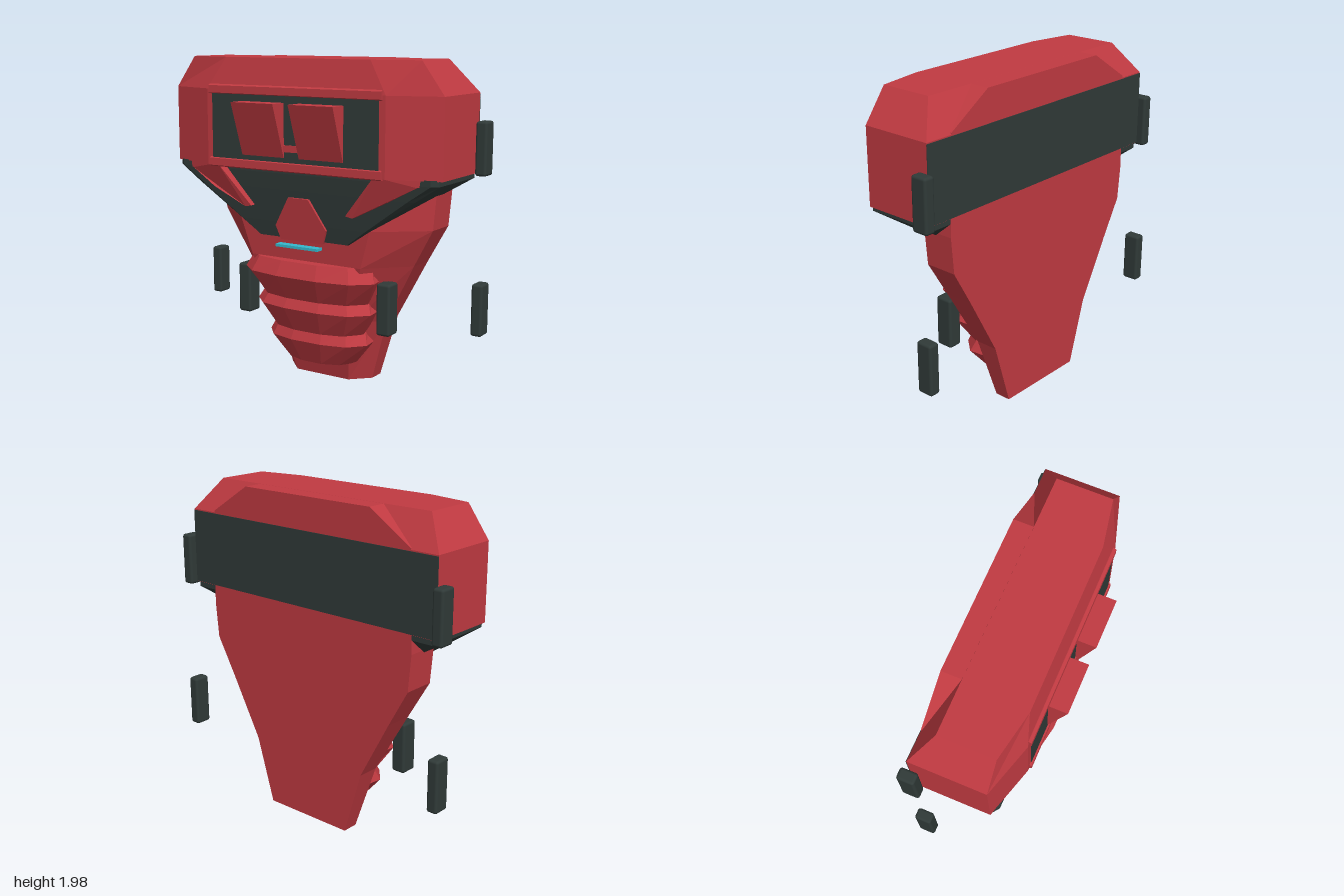
import * as THREE from 'three';
import { RoundedBoxGeometry } from 'three/addons/geometries/RoundedBoxGeometry.js';

const material = (name, color) => {
  const m = new THREE.MeshStandardMaterial({ color });
  m.name = name;
  return m;
};

// Loft of horizontal sections [y, [[x, z], ...]]; each lists its +x half from front to back.
function loft(sections) {
  const rings = sections.map(([y, half]) => [
    ...half.map(([x, z]) => [x, y, z]),
    ...half.slice().reverse().map(([x, z]) => [-x, y, z]),
  ]);
  const out = [];
  const n = rings[0].length;
  for (let r = 0; r < rings.length - 1; r++) {
    for (let i = 0; i < n; i++) {
      const j = (i + 1) % n;
      const a = rings[r][i], b = rings[r][j], c = rings[r + 1][j], d = rings[r + 1][i];
      out.push(...a, ...b, ...c, ...a, ...c, ...d);
    }
  }
  const bottom = rings[0], top = rings[rings.length - 1];
  for (let i = 1; i < n - 1; i++) {
    out.push(...bottom[0], ...bottom[i + 1], ...bottom[i]);
    out.push(...top[0], ...top[i], ...top[i + 1]);
  }
  const g = new THREE.BufferGeometry();
  g.setAttribute('position', new THREE.Float32BufferAttribute(out, 3));
  g.computeVertexNormals();
  return g;
}

// Flat slab cut from an outline, its depth shifted by a rule of x and y.
function slab(points, depth, shift) {
  const shape = new THREE.Shape(points.map(([x, y]) => new THREE.Vector2(x, y)));
  const g = new THREE.ExtrudeGeometry(shape, { depth, bevelEnabled: false });
  const p = g.attributes.position;
  for (let i = 0; i < p.count; i++) {
    p.setZ(i, p.getZ(i) - depth + shift(p.getX(i), p.getY(i)));
  }
  g.computeVertexNormals();
  return g;
}

export function createModel() {
  const group = new THREE.Group();
  const red = material('red', 0xc03a41);
  const dark = material('dark grey', 0x303a38);
  const cyan = material('cyan', 0x35b8cc);

  const add = (name, geometry, mat, x = 0, y = 0, z = 0) => {
    const mesh = new THREE.Mesh(geometry, mat);
    mesh.name = name;
    mesh.position.set(x, y, z);
    group.add(mesh);
    return mesh;
  };
  const box = (w, h, d) => new THREE.BoxGeometry(w, h, d);

  // Main shell: flat back, tapering down to the chin
  const shell = [
    // y, front half width, front z, side half width, side z
    [0, 0.19, -0.09, 0.3, -0.2],
    [0.4, 0.27, 0.02, 0.42, -0.16],
    [0.77, 0.39, 0.11, 0.62, -0.12],
    [1.0, 0.46, 0.13, 0.75, -0.1],
    [1.22, 0.46, 0.155, 0.77, -0.1],
    [1.8, 0.46, 0.2, 0.75, -0.1],
    [1.979, 0.4, 0.18, 0.47, -0.1],
  ];
  add('shell', loft(shell.map(([y, fw, fz, sw, sz]) =>
    [y, [[fw, fz], [sw, sz], [sw, -0.3]]])), red);

  // Broad chamfered hood
  const hoodSide = [[0.62, 0.243], [0.93, 0.15], [0.93, -0.3]];
  add('hood', loft([
    [1.33, hoodSide],
    [1.79, hoodSide],
    [1.98, [[0.5, 0.205], [0.79, 0.15], [0.79, -0.18]]],
  ]), red);
  add('backPanel', box(1.86, 0.45, 0.006), dark, 0, 1.558, -0.301);

  // Window with rails above and below
  add('window', box(1.16, 0.4, 0.008), dark, 0, 1.57, 0.243);
  for (const y of [1.35, 1.79]) {
    add('windowRail', loft([
      [-0.03, [[0.6, 0.24], [0.6, 0.2]]],
      [-0.022, [[0.6, 0.256], [0.6, 0.2]]],
      [0.022, [[0.6, 0.256], [0.6, 0.2]]],
      [0.03, [[0.6, 0.24], [0.6, 0.2]]],
    ]), red, 0, y);
  }

  // Wedge eyepieces and their bridge
  const wedge = slab([[0.23, 1.725], [0.23, 1.405], [0.25, 1.405], [0.36, 1.725]], 0.3, () => 0.15);
  wedge.rotateY(-Math.PI / 2);
  for (const s of [-1, 1]) add('eyepiece', wedge, red, s * 0.203);
  add('eyeBridge', box(0.12, 0.04, 0.02), red, 0, 1.46, 0.245);

  // Dark jaw guard wrapping under the hood
  add('jawGuard', loft([
    [0.905, [[0.31, 0.13], [0.32, 0.12], [0.32, 0.1]]],
    [1.0, [[0.44, 0.145], [0.46, 0.13], [0.46, 0.1]]],
    [1.2, [[0.72, 0.17], [0.76, 0.15], [0.76, -0.18]]],
    [1.3, [[0.87, 0.18], [0.91, 0.15], [0.91, -0.298]]],
    [1.335, [[0.87, 0.18], [0.91, 0.15], [0.91, -0.298]]],
  ]), dark);

  // Cheek flaps hanging from the hood
  const cheek = [[0.55, 1.34], [0.335, 1.09], [0.38, 1.08], [0.6, 1.19], [0.79, 1.29], [0.925, 1.335]];
  for (const s of [-1, 1]) {
    const outline = cheek.map(([x, y]) => [s * x, y]);
    add('cheekFlap', slab(outline, 0.07,
      (x, y) => 0.192 + (y - 1.08) * 0.2 - Math.max(0, Math.abs(x) - 0.62) * 0.3), red);
  }

  // Nose plate and the lit strip below it
  add('nose', slab([[-0.07, 1.16], [-0.18, 0.98], [-0.15, 0.895], [0.15, 0.895], [0.18, 0.98], [0.07, 1.16]],
    0.06, (x, y) => 0.145 + (y - 0.9) * 0.15), red);
  add('lightStrip', box(0.3, 0.016, 0.055), cyan, 0, 0.868, 0.176);

  // Three faceted ribs; levels are y, half width, front z, back z
  const ribs = [
    [[0.53, 0.38, 0.14, 0], [0.68, 0.465, 0.215, -0.06], [0.77, 0.425, 0.175, -0.02]],
    [[0.32, 0.32, 0.09, -0.08], [0.47, 0.41, 0.16, -0.15], [0.55, 0.37, 0.12, -0.1]],
    [[0.115, 0.24, 0.04, -0.14], [0.26, 0.355, 0.105, -0.19], [0.35, 0.32, 0.07, -0.13]],
  ];
  for (const levels of ribs) {
    add('rib', loft(levels.map(([y, w, f, b]) => [y, [
      [w * 0.3, f], [w * 0.75, f - 0.04], [w, f - 0.14], [w * 0.95, b],
    ]])), red);
  }

  // Rounded side pads
  const pad = (w, d) => new RoundedBoxGeometry(w, 0.315, d, 2, 0.016);
  for (const s of [-1, 1]) {
    add('upperPad', pad(0.07, 0.105), dark, s * 0.965, 1.473, -0.3);
    add('lowerPad', pad(0.07, 0.105), dark, s * 0.965, 0.522, -0.3);
    add('innerPad', pad(0.09, 0.11), dark, s * 0.505, 0.522, -0.007);
  }
  return group;
}
